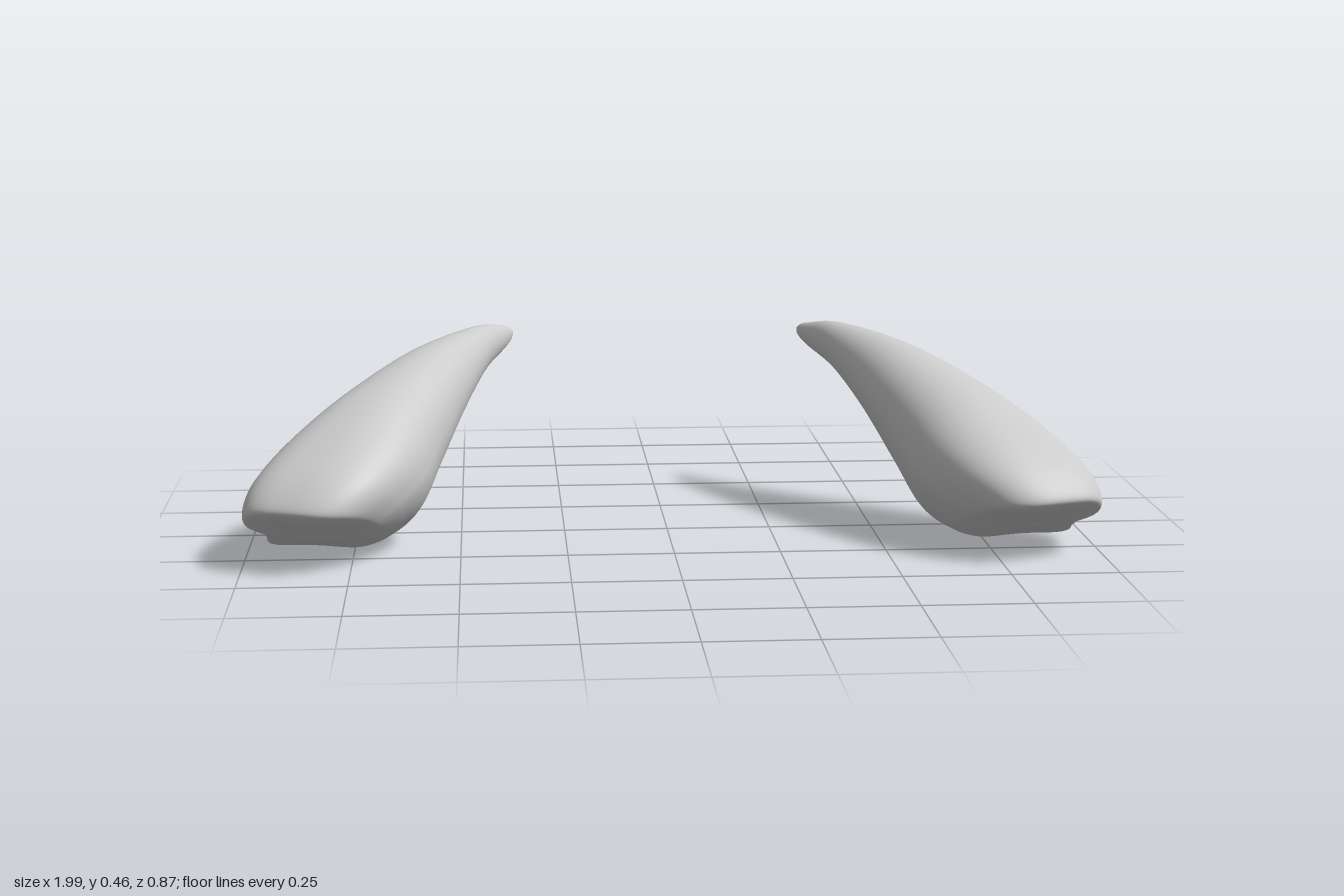
import * as THREE from 'three';
import { mergeVertices } from 'three/addons/utils/BufferGeometryUtils.js';

// Sections from tip to base: [u along, y] of the upper edge, the same of the lower edge, half width
const SECTIONS = [
  [-0.003, 0.42, -0.003, 0.418, 0],
  [0.007, 0.43, 0.009, 0.403, 0.01],
  [0.04, 0.441, 0.05, 0.382, 0.021],
  [0.165, 0.457, 0.19, 0.331, 0.05],
  [0.4, 0.436, 0.34, 0.238, 0.097],
  [0.635, 0.372, 0.47, 0.125, 0.14],
  [0.8, 0.3, 0.57, 0.028, 0.17],
  [0.93, 0.225, 0.645, 0.002, 0.17],
  [0.995, 0.16, 0.69, 0.002, 0.15],
  // closed underside
  [0.985, 0.13, 0.725, 0.009, 0.125],
  [0.925, 0.095, 0.785, 0.032, 0.07],
  [0.855, 0.064, 0.855, 0.062, 0],
];
const TIP = new THREE.Vector3(0.37, 0, -0.44);
const ALONG = new THREE.Vector3(0.53, 0, 0.85);
const ACROSS = new THREE.Vector3(0.85, 0, -0.53);
const RINGS = 88, SEGMENTS = 64;

const { lerp, smoothstep } = THREE.MathUtils;
const power = (x, e) => Math.sign(x) * Math.abs(x) ** e;
const bump = x => Math.exp(-x * x);

function hornGeometry(side) {
  const curve = points => new THREE.CatmullRomCurve3(points, false, 'catmullrom', 0.5);
  const upper = curve(SECTIONS.map(s => new THREE.Vector3(s[0], s[1], s[4])));
  const lower = curve(SECTIONS.map(s => new THREE.Vector3(s[2], s[3], 0)));
  const positions = [], index = [];

  for (let i = 0; i <= RINGS; i++) {
    const t = i / RINGS;
    const a = upper.getPoint(t), b = lower.getPoint(t);
    const halfWidth = Math.max(a.z, 0);
    const baseward = smoothstep(t, 0.3, 0.7);
    const grooved = smoothstep(t, 0.45, 0.72);
    for (let j = 0; j < SEGMENTS; j++) {
      const angle = (j / SEGMENTS) * Math.PI * 2;
      const x = Math.cos(angle), y = Math.sin(angle);
      // toward the base: square on top, fuller on the outer side, flattened on the lower inner side
      const e = 1 + baseward * (y > 0 ? -0.3 : x > 0 ? -0.12 : 0.15);
      // groove on the outer flank near the base
      const groove = x > 0 ? 1 - 0.2 * grooved * bump((y - 0.12) / 0.2) : 1;
      const k = (power(y, e) + 1) / 2;
      // the lower edge leans outward
      const v = halfWidth * (power(x, e) * groove + 0.24 * baseward * (1 - k) ** 2);
      // the base is turned and rolled to face slightly inward
      const u = lerp(b.x, a.x, k) + 0.2 * baseward * v;
      const roll = 0.8 * baseward * k * (1 - k) * v;
      const p = TIP.clone().addScaledVector(ALONG, u).addScaledVector(ACROSS, v);
      positions.push(side * p.x, Math.max(0, lerp(b.y, a.y, k) - roll), p.z);
    }
  }

  for (let i = 0; i < RINGS; i++) {
    for (let j = 0; j < SEGMENTS; j++) {
      const n = (j + 1) % SEGMENTS;
      const p = i * SEGMENTS + j, q = i * SEGMENTS + n;
      const r = p + SEGMENTS, s = q + SEGMENTS;
      if (side > 0) index.push(p, q, r, q, s, r);
      else index.push(p, r, q, q, r, s);
    }
  }

  let geometry = new THREE.BufferGeometry();
  geometry.setAttribute('position', new THREE.Float32BufferAttribute(positions, 3));
  geometry.setIndex(index);
  geometry = mergeVertices(geometry, 1e-5);
  geometry.computeVertexNormals();
  return geometry;
}

export function createModel() {
  const model = new THREE.Group();
  model.name = 'hornPair';
  const material = new THREE.MeshStandardMaterial({ color: 0xcccccc });
  for (const [name, side] of [['leftHorn', 1], ['rightHorn', -1]]) {
    const horn = new THREE.Mesh(hornGeometry(side), material);
    horn.name = name;
    model.add(horn);
  }
  return model;
}
